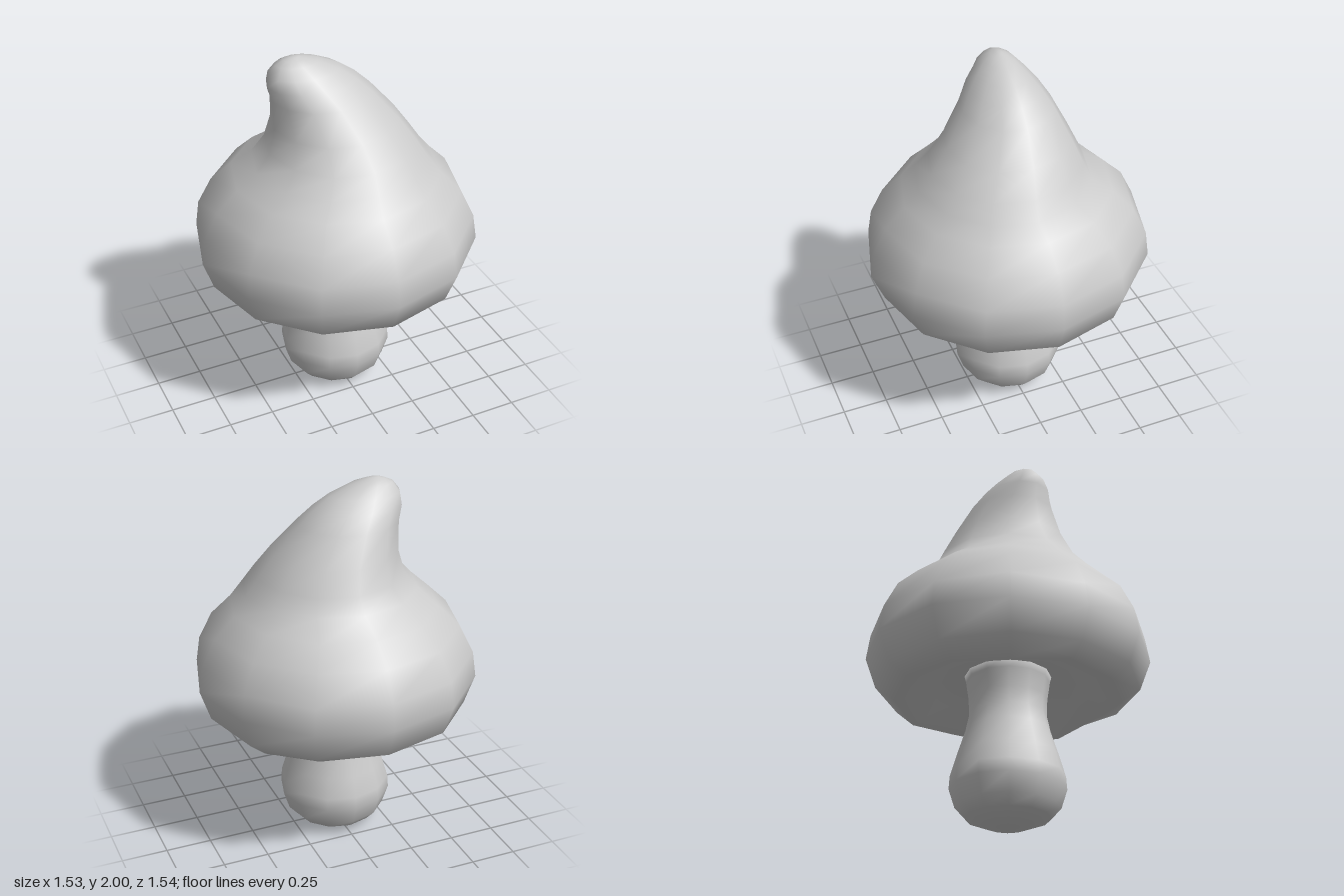
import * as THREE from 'three';

const SIDES = 12;
const material = new THREE.MeshStandardMaterial({ color: 0xcccccc });

// Skin between 12-sided rings [y, left x, right x, back z, front z], listed from bottom/inside to top.
function loft(name, rings, lift = () => 0) {
  const pos = [], index = [];
  rings.forEach(([y, x0, x1, z0, z1], r) => {
    for (let i = 0; i < SIDES; i++) {
      const a = (i / SIDES) * Math.PI * 2;
      pos.push(
        (x0 + x1) / 2 + Math.sin(a) * (x1 - x0) / 2,
        y + lift(r, i),
        (z0 + z1) / 2 + Math.cos(a) * (z1 - z0) / 2
      );
    }
  });
  for (let r = 0; r < rings.length - 1; r++) {
    for (let i = 0; i < SIDES; i++) {
      const j = (i + 1) % SIDES;
      const a = r * SIDES + i, b = r * SIDES + j;
      index.push(a, b, b + SIDES, a, b + SIDES, a + SIDES);
    }
  }
  // close both ends with a centre point
  [0, rings.length - 1].forEach((r, end) => {
    const [y, x0, x1, z0, z1] = rings[r];
    const c = pos.length / 3;
    pos.push((x0 + x1) / 2, y, (z0 + z1) / 2);
    for (let i = 0; i < SIDES; i++) {
      const a = r * SIDES + i, b = r * SIDES + (i + 1) % SIDES;
      if (end) index.push(a, b, c);
      else index.push(b, a, c);
    }
  });
  const g = new THREE.BufferGeometry();
  g.setAttribute('position', new THREE.Float32BufferAttribute(pos, 3));
  g.setIndex(index);
  g.computeVertexNormals();
  const mesh = new THREE.Mesh(g, material);
  mesh.name = name;
  return mesh;
}

const round = (y, r) => [y, -r, r, -r, r];

export function createModel() {
  const group = new THREE.Group();
  group.name = 'mushroom';

  // bulbous stem
  group.add(loft('stem', [
    round(0, 0.11), round(0.045, 0.225), round(0.1, 0.275), round(0.2, 0.307),
    round(0.27, 0.302), round(0.38, 0.27), round(0.52, 0.225), round(0.61, 0.206),
    round(0.7, 0.21), round(0.8, 0.225), round(0.86, 0.24)
  ]));

  // cap: hollow underside, uneven rim, dome and a tip that bends to one side
  const rimWave = [0.05, 0, -0.01, 0.02, -0.01, 0.01, 0.02, 0.01, -0.01, 0.025, 0.02, 0.01];
  const cap = [
    round(0.85, 0.15), round(0.82, 0.3), round(0.77, 0.43), round(0.71, 0.51),
    round(0.68, 0.6), round(0.765, 0.71),
    [0.93, -0.765, 0.765, -0.77, 0.775],
    [1.07, -0.745, 0.745, -0.75, 0.75],
    [1.22, -0.67, 0.67, -0.675, 0.68],
    [1.33, -0.555, 0.56, -0.56, 0.57],
    [1.42, -0.455, 0.485, -0.435, 0.495],
    [1.51, -0.375, 0.425, -0.39, 0.425],
    [1.63, -0.335, 0.34, -0.335, 0.33],
    [1.78, -0.335, 0.21, -0.265, 0.215],
    [1.86, -0.357, 0.125, -0.215, 0.155],
    [1.92, -0.35, 0.04, -0.165, 0.1],
    [1.97, -0.31, -0.07, -0.115, 0.045],
    [1.99, -0.265, -0.14, -0.08, 0.005],
    [2.0, -0.23, -0.18, -0.055, -0.02]
  ];
  group.add(loft('cap', cap, (r, i) => (r === 4 ? rimWave[i] : r === 3 ? rimWave[i] * 0.6 : 0)));

  return group;
}
